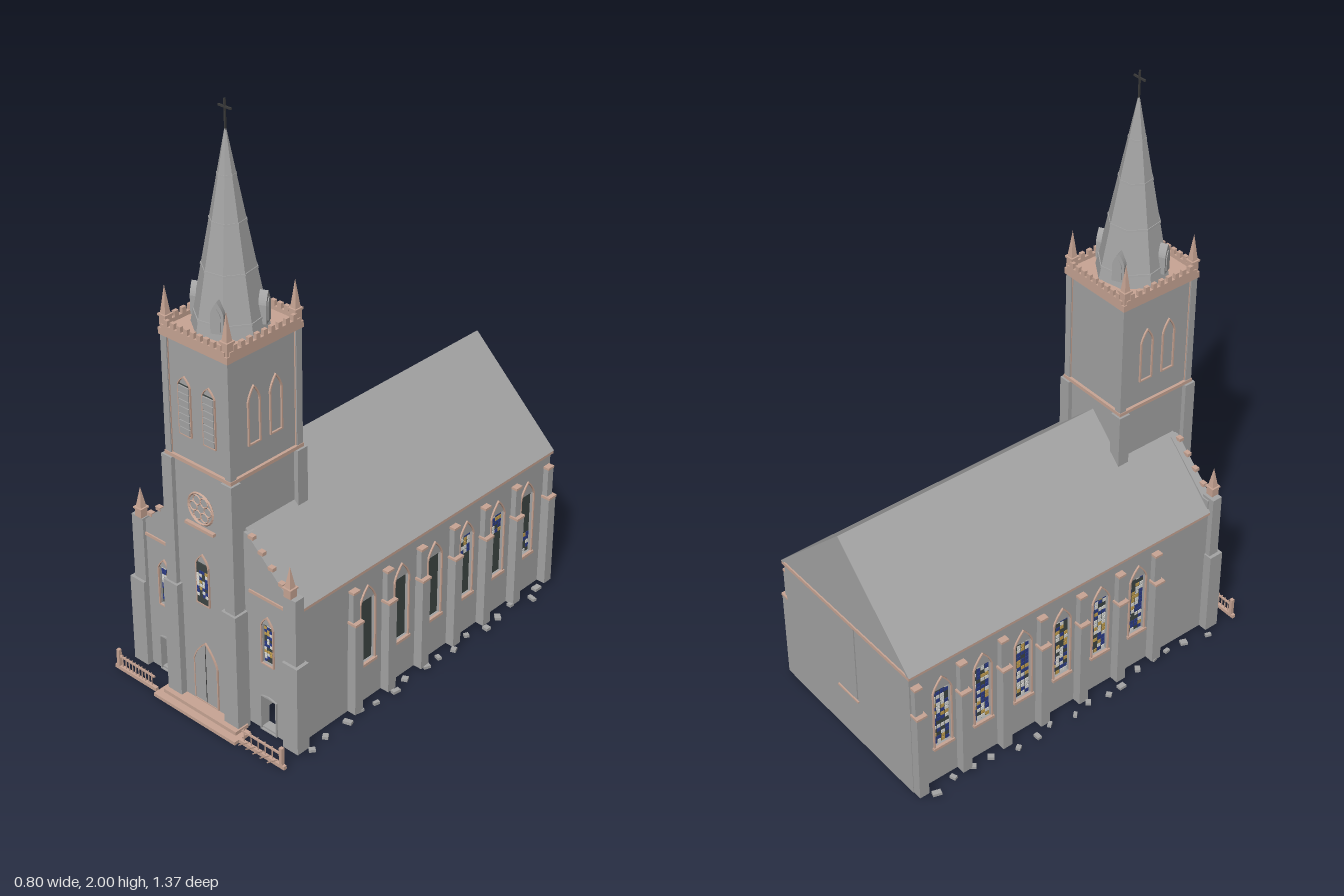
import * as THREE from 'three';

const mat = (name, color, double) => {
  const m = new THREE.MeshStandardMaterial({ color });
  m.name = name;
  m.flatShading = true;
  if (double) m.side = THREE.DoubleSide;
  return m;
};

export function createModel() {
  const stone = mat('grey stone', 0xa4a4a4), trim = mat('tan trim', 0xc8a594);
  const dark = mat('dark glass', 0x3e4644), iron = mat('iron', 0x3a3a3a);
  const blue = mat('blue glass', 0x2c3c8a), yellow = mat('yellow glass', 0xc4a050), white = mat('pale glass', 0xdcdcd8);
  const model = new THREE.Group();
  model.name = 'church';

  let seed = 7;
  const rnd = () => (seed = (seed * 16807) % 2147483647) / 2147483647;

  const add = (name, geo, m, x = 0, y = 0, z = 0, parent = model) => {
    const mesh = new THREE.Mesh(geo, m);
    mesh.name = name;
    mesh.position.set(x, y, z);
    parent.add(mesh);
    return mesh;
  };
  // box given by its ranges on each axis
  const box = (name, m, x0, x1, y0, y1, z0, z1, parent = model) =>
    add(name, new THREE.BoxGeometry(x1 - x0, y1 - y0, z1 - z0), m, (x0 + x1) / 2, (y0 + y1) / 2, (z0 + z1) / 2, parent);
  const group = (name, x, y, z, ry = 0) => {
    const g = new THREE.Group();
    g.name = name;
    g.position.set(x, y, z);
    g.rotation.y = ry;
    model.add(g);
    return g;
  };
  const poly = pts => new THREE.Shape(pts.map(p => new THREE.Vector2(p[0], p[1])));
  const rect = (x0, x1, y0, y1) => poly([[x0, y0], [x1, y0], [x1, y1], [x0, y1]]);
  const extrude = (shape, holes, depth) => {
    shape.holes.push(...holes);
    return new THREE.ExtrudeGeometry(shape, { depth, bevelEnabled: false, curveSegments: 6 });
  };
  // pointed arch: half width, sill, spring and peak heights
  const lancet = (w, y0, ys, yt) => {
    const s = new THREE.Shape();
    s.moveTo(-w, y0); s.lineTo(w, y0); s.lineTo(w, ys);
    s.quadraticCurveTo(w * 0.8, (ys + yt) / 2, 0, yt);
    s.quadraticCurveTo(-w * 0.8, (ys + yt) / 2, -w, ys);
    return s;
  };
  const archFrame = (name, m, w, y0, ys, yt, t, parent, x = 0, z = 0) =>
    add(name, extrude(lancet(w, y0, ys, yt), [lancet(w - t, y0 + t, ys, yt - t * 1.5)], 0.006), m, x, 0, z, parent);

  // pane with leaded coloured tiles over part of its height
  const pane = (g, w, y0, y1, z, from, to) => {
    box('windowPane', dark, -w, w, y0, y1, z - 0.002, z + 0.002, g);
    const cols = 4, rows = Math.round((y1 - y0) / (w / 2));
    for (let r = 0; r < rows; r++) for (let c = 0; c < cols; c++) {
      const f = (r + 0.5) / rows;
      if (f < from || f > to || rnd() < 0.15) continue;
      const s = w * 2 / cols, h = (y1 - y0) / rows, k = rnd();
      const x = -w + c * s, y = y0 + r * h;
      box('glassTile', k < 0.45 ? blue : k < 0.65 ? yellow : white,
        x + s * 0.1, x + s * 0.9, y + h * 0.1, y + h * 0.9, z - 0.004, z + 0.004, g);
    }
  };

  // nave side walls with windows and buttresses
  const windowZ = [0.235, 0.077, -0.082, -0.24, -0.40, -0.556];
  const buttressZ = [0.305, 0.15, -0.01, -0.17, -0.325, -0.485, -0.655];
  const broken = [[1, 1], [1, 1], [1, 1], [0.67, 1], [0.67, 1], [0, 0.35]];
  for (const s of [1, -1]) {
    const wall = add('sideWall', extrude(rect(-0.675, 0.55, 0.01, 0.51), windowZ.map(z => rect(z - 0.032, z + 0.032, 0.155, 0.39)), 0.025),
      stone, s > 0 ? 0.33 : -0.305, 0, 0);
    wall.rotation.y = -Math.PI / 2;
    windowZ.forEach((z, i) => {
      const g = group('naveWindow', s * 0.33, 0, z, s * Math.PI / 2);
      pane(g, 0.032, 0.155, 0.39, -0.012, ...(s > 0 ? broken[i] : [0, 1]));
      archFrame('windowHood', trim, 0.037, 0.15, 0.385, 0.445, 0.005, g);
      box('windowSill', trim, -0.04, 0.04, 0.147, 0.157, 0, 0.01, g);
    });
    for (const z of buttressZ) {
      const g = group('buttress', s * 0.33, 0, z, s * Math.PI / 2);
      box('buttressBase', stone, -0.018, 0.018, 0.01, 0.345, 0, 0.032, g);
      box('buttressCap', trim, -0.02, 0.02, 0.345, 0.353, 0, 0.035, g);
      box('buttressUpper', stone, -0.014, 0.014, 0.353, 0.455, 0, 0.02, g);
      box('buttressTop', trim, -0.015, 0.015, 0.455, 0.463, 0, 0.022, g);
    }
  }

  // back wall with gable and blind panel
  add('backWall', extrude(poly([[-0.33, 0.01], [0.33, 0.01], [0.33, 0.51], [0, 0.825], [-0.33, 0.51]]), [], 0.025), stone, 0, 0, -0.675);
  box('backPanel', stone, -0.05, 0.05, 0.2, 0.5, -0.679, -0.674);
  box('backSill', trim, -0.055, 0.055, 0.185, 0.191, -0.68, -0.674);

  // ceiling slab doubles as the eave moulding
  box('ceiling', trim, -0.338, 0.338, 0.5, 0.512, -0.68, 0.545);
  add('roof', extrude(poly([[-0.34, 0.512], [0, 0.84], [0.34, 0.512], [0.325, 0.512], [0, 0.825], [-0.325, 0.512]]), [], 1.23), stone, 0, 0, -0.68);

  // front facade with side doors and windows
  const holes = [];
  for (const s of [-1, 1]) {
    holes.push(rect(s * 0.223 - 0.03, s * 0.223 + 0.03, 0.02, 0.14));
    holes.push(rect(s * 0.223 - 0.022, s * 0.223 + 0.022, 0.27, 0.41));
  }
  add('facade', extrude(poly([[-0.33, 0.01], [0.33, 0.01], [0.33, 0.555], [0.305, 0.555], [0.145, 0.705], [-0.145, 0.705], [-0.305, 0.555], [-0.33, 0.555]]), holes, 0.03), stone, 0, 0, 0.53);
  // four sided pinnacle
  const pinnacle = (x, y, z, r, h) => {
    const g = group('pinnacle', x, y, z);
    box('pinnacleBase', trim, -r, r, 0, h * 0.3, -r, r, g);
    const tip = add('pinnacleTip', new THREE.ConeGeometry(r * 1.2, h * 0.7, 4), trim, 0, h * 0.65, 0, g);
    tip.rotation.y = Math.PI / 4;
    box('pinnacleCollar', trim, -r * 1.25, r * 1.25, h * 0.27, h * 0.32, -r * 1.25, r * 1.25, g);
  };
  for (const s of [-1, 1]) {
    const a = s * 0.3, b = s * 0.35, c = s * 0.362;
    box('cornerPier', stone, Math.min(a, b), Math.max(a, b), 0.01, 0.565, 0.535, 0.572);
    box('cornerPierBase', stone, Math.min(a, c), Math.max(a, c), 0.01, 0.33, 0.53, 0.582);
    pinnacle(s * 0.318, 0.565, 0.56, 0.014, 0.105);
    const g = group('facadeWindow', s * 0.223, 0, 0.56);
    pane(g, 0.022, 0.27, 0.41, -0.01, 0, 1);
    archFrame('facadeWindowHood', trim, 0.027, 0.265, 0.405, 0.445, 0.004, g);
    archFrame('sideDoorFrame', stone, 0.034, 0.01, 0.138, 0.146, 0.004, g);
    box('facadeBand', trim, s > 0 ? 0.15 : -0.3, s > 0 ? 0.3 : -0.15, 0.503, 0.513, 0.555, 0.565);
    for (let i = 0; i < 4; i++) {
      const x = s * (0.28 - i * 0.04), y = 0.58 + i * 0.0375;
      box('crocket', trim, x - 0.01, x + 0.01, y, y + 0.012, 0.545, 0.562);
    }
  }

  // hollow lower tower
  const zc = 0.46;
  const core = add('lowerTower', extrude(rect(-0.13, 0.13, -0.145, 0.145), [rect(-0.105, 0.105, -0.12, 0.12)], 0.88), stone, 0, 0.01, zc);
  core.rotation.x = -Math.PI / 2;
  for (const sx of [-1, 1]) {
    const x = sx * 0.125;
    box('towerPier', stone, x - 0.021, x + 0.021, 0.01, 0.89, 0.58, 0.62);
    box('towerPierBase', stone, x - 0.03, x + 0.03, 0.01, 0.44, 0.575, 0.628);
    box('towerRearPier', stone, x - 0.021, x + 0.021, 0.52, 0.89, 0.30, 0.342);
  }
  const front = group('towerFront', 0, 0, 0.605);
  add('door', extrude(lancet(0.05, 0.03, 0.185, 0.26), [], 0.004), stone, 0, 0, 0, front);
  archFrame('doorFrame', trim, 0.052, 0.03, 0.185, 0.263, 0.004, front);
  box('doorSeam', iron, -0.001, 0.001, 0.03, 0.25, 0.003, 0.005, front);
  pane(front, 0.024, 0.41, 0.555, 0.003, 0.15, 0.8);
  archFrame('towerWindowHood', trim, 0.028, 0.405, 0.55, 0.59, 0.004, front);
  box('roseSill', trim, -0.06, 0.06, 0.68, 0.69, 0, 0.012, front);
  add('roseRing', new THREE.TorusGeometry(0.052, 0.004, 4, 24), trim, 0, 0.75, 0.001, front);
  for (let i = 0; i < 6; i++) {
    const a = i * Math.PI / 3;
    add('roseLobe', new THREE.TorusGeometry(0.016, 0.0025, 4, 10), trim, Math.cos(a) * 0.03, 0.75 + Math.sin(a) * 0.03, 0.001, front);
  }

  // upper tower with corner pilasters
  box('upperTower', stone, -0.128, 0.128, 0.88, 1.31, zc - 0.143, zc + 0.143);
  box('lowerCornice', trim, -0.138, 0.138, 0.89, 0.902, zc - 0.153, zc + 0.153);
  box('upperCornice', trim, -0.14, 0.14, 1.29, 1.312, zc - 0.155, zc + 0.155);
  for (const sx of [-1, 1]) for (const sz of [-1, 1]) {
    const x = sx * 0.124, z = zc + sz * 0.139;
    box('pilaster', stone, x - 0.012, x + 0.012, 0.9, 1.29, z - 0.012, z + 0.012);
    pinnacle(x, 1.312, zc + sz * 0.138, 0.013, 0.135);
  }
  for (let k = 0; k < 4; k++) {
    const alongX = k % 2 === 0, d = alongX ? 0.143 : 0.128, w = alongX ? 0.128 : 0.143;
    const a = k * Math.PI / 2;
    const g = group('towerSide', Math.sin(a) * d, 0, zc + Math.cos(a) * d, a);
    for (const s of [-1, 1]) {
      const e = s * (w - 0.015);
      box('panelEdge', trim, e - 0.002, e + 0.002, 0.902, 1.29, 0, 0.004, g);
      if (k === 0) {
        const l = group('louver', s * 0.05, 0, zc + d);
        box('louverBack', dark, -0.023, 0.023, 0.985, 1.15, 0, 0.003, l);
        for (let i = 0; i < 7; i++) box('slat', stone, -0.021, 0.021, 0.988 + i * 0.0232, 1.008 + i * 0.0232, 0, 0.008, l);
        archFrame('louverFrame', trim, 0.026, 0.982, 1.148, 1.18, 0.003, l);
      } else if (k !== 2) archFrame('belfryArch', trim, 0.026, 0.985, 1.13, 1.18, 0.005, g, s * 0.045);
    }
    // parapet and battlements
    const p = group('parapet', Math.sin(a) * (d + 0.006), 0, zc + Math.cos(a) * (d + 0.006), a);
    box('parapetWall', trim, -w, w, 1.312, 1.325, -0.006, 0.006, p);
    for (let i = 0; i < 9; i++) {
      const x = (i - 4) * w * 0.21;
      box('merlon', trim, x - 0.008, x + 0.008, 1.325, 1.343, -0.006, 0.006, p);
    }
  }

  // octagonal spire with bands, dormers and cross
  const turn = Math.PI * 0.06;
  const spire = group('spire', 0, 0, zc, turn);
  add('spireCone', new THREE.CylinderGeometry(0.003, 0.118, 0.6, 8), stone, 0, 1.612, 0, spire).rotation.y = Math.PI / 8;
  for (const y of [1.355, 1.5, 1.645, 1.78]) {
    const r = 0.118 * (1.912 - y) / 0.6 + 0.004;
    add('spireBand', new THREE.CylinderGeometry(r - 0.001, r, 0.006, 8), stone, 0, y, 0, spire).rotation.y = Math.PI / 8;
  }
  for (let k = 0; k < 4; k++) {
    const g = new THREE.Group();
    g.name = 'dormer';
    g.rotation.y = k * Math.PI / 2 + Math.PI / 12;
    spire.add(g);
    add('dormerBody', extrude(lancet(0.02, 1.335, 1.395, 1.435), [], 0.05), stone, 0, 0, 0.065, g);
    add('dormerOpening', extrude(lancet(0.012, 1.345, 1.39, 1.415), [], 0.003), stone, 0, 0, 0.115, g);
  }
  box('crossPost', iron, -0.0025, 0.0025, 1.9, 2.0, zc - 0.0025, zc + 0.0025);
  box('crossArm', iron, -0.025, 0.025, 1.972, 1.978, zc - 0.0025, zc + 0.0025);

  // front steps
  box('lowerStep', trim, -0.18, 0.18, 0, 0.012, 0.6, 0.67);
  box('upperStep', trim, -0.16, 0.16, 0.012, 0.025, 0.59, 0.645);

  // railings on both sides of the steps
  for (const s of [-1, 1]) {
    const f = group('fence', s * 0.28, 0, 0.65);
    box('fenceKerb', trim, -0.095, 0.095, 0.005, 0.018, -0.006, 0.006, f);
    box('fenceRail', trim, -0.085, 0.085, 0.052, 0.058, -0.003, 0.003, f);
    box('fencePost', trim, s * 0.08 - 0.006, s * 0.08 + 0.006, 0.01, 0.08, -0.006, 0.006, f);
    for (let i = 0; i < 11; i++) {
      const bar = box('fenceBar', trim, -0.08 + i * 0.015, -0.077 + i * 0.015, 0.015, 0.065, -0.0015, 0.0015, f);
      if (s > 0 && i % 2) { bar.rotation.x = 1.2; bar.position.set(bar.position.x, 0.025, 0.015); }
    }
  }

  // scattered rubble along the sides
  for (const s of [-1, 1]) for (let i = 0; i < 16; i++) {
    const w = 0.01 + rnd() * 0.02;
    const r = add('rubble', new THREE.BoxGeometry(w, 0.01, 0.012 + rnd() * 0.01), stone, s * (0.352 + rnd() * 0.038), 0.01, -0.62 + i * 0.075 + rnd() * 0.03);
    r.rotation.y = rnd() * 3;
  }
  return model;
}
